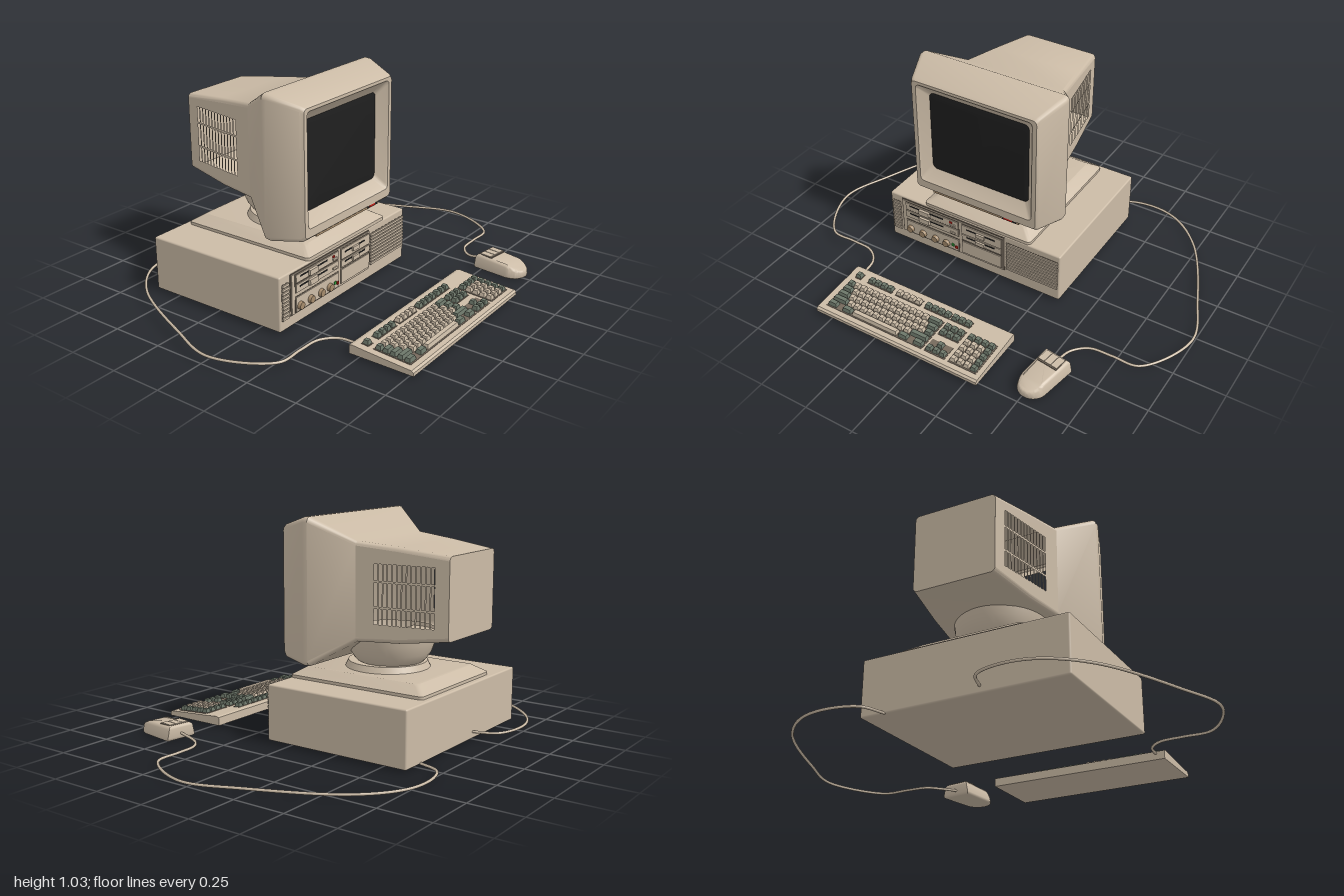
import * as THREE from 'three';
import { mergeGeometries, toCreasedNormals } from 'three/addons/utils/BufferGeometryUtils.js';
import { RoundedBoxGeometry } from 'three/addons/geometries/RoundedBoxGeometry.js';

const BEIGE = 0xcbbba6, SHADE = 0x75695c, DARK = 0x1f1f1f, TAN = 0xa58b6c;
const GREEN_GREY = 0x6d776a, RED = 0xc02018, GREEN = 0x2fa03a;

const mats = {};
const mat = (color, double) => (mats[color + '|' + double] ??= new THREE.MeshStandardMaterial({
  color, side: double ? THREE.DoubleSide : THREE.FrontSide }));

function add(parent, name, geo, color = BEIGE, double = false) {
  const m = new THREE.Mesh(geo, mat(color, double));
  m.name = name;
  parent.add(m);
  return m;
}
function box(parent, name, x, y, z, w, h, d, color) {
  const m = add(parent, name, new THREE.BoxGeometry(w, h, d), color);
  m.position.set(x, y, z);
  return m;
}
function group(parent, name) {
  const g = new THREE.Group();
  g.name = name;
  parent.add(g);
  return g;
}

// Loft of rounded rectangles [z, halfWidth, y0, y1, radius]; sides are left open from ring openFrom on.
const ARC = 5, N = ARC * 4;
function loft(rings, cx, { capStart, capEnd, openFrom = 99 } = {}) {
  const pos = [], idx = [];
  for (const [z, hw, y0, y1, r] of rings) {
    for (let c = 0; c < 4; c++) for (let k = 0; k < ARC; k++) {
      const a = (c + k / (ARC - 1)) * Math.PI / 2;
      const sx = c === 0 || c === 3 ? 1 : -1;
      pos.push(cx + sx * (hw - r) + r * Math.cos(a), (c < 2 ? y1 - r : y0 + r) + r * Math.sin(a), z);
    }
  }
  for (let i = 0; i < rings.length - 1; i++) for (let j = 0; j < N; j++) {
    if (i >= openFrom && (j === 2 * ARC - 1 || j === N - 1)) continue;
    const a = i * N + j, b = i * N + (j + 1) % N;
    idx.push(a, a + N, b + N, a, b + N, b);
  }
  const last = (rings.length - 1) * N;
  for (let j = 1; j < N - 1; j++) {
    if (capStart) idx.push(0, j, j + 1);
    if (capEnd) idx.push(last, last + j + 1, last + j);
  }
  const g = new THREE.BufferGeometry();
  g.setAttribute('position', new THREE.Float32BufferAttribute(pos, 3));
  g.setIndex(idx);
  return toCreasedNormals(g, 0.6);
}

function buildMonitor(root) {
  const g = group(root, 'monitor'), cx = -0.118;
  const rear = [[-0.235, 0.273, 0.48, 0.93, 0.02], [-0.43, 0.239, 0.487, 0.912, 0.02], [-0.665, 0.198, 0.515, 0.885, 0.02]];
  add(g, 'monitorShell', loft([
    [0.075, 0.265, 0.49, 0.91, 0.025], [0.112, 0.3, 0.44, 0.955, 0.02], [0.124, 0.308, 0.43, 0.965, 0.02],
    [0.124, 0.33, 0.39, 0.98, 0.02], [0.108, 0.34, 0.376, 0.99, 0.02],
    [-0.03, 0.39, 0.361, 1.033, 0.025], [-0.055, 0.39, 0.364, 1.034, 0.025], ...rear,
  ], cx, { capEnd: true, openFrom: 7 }), BEIGE, true);
  add(g, 'screen', loft([[0.079, 0.25, 0.505, 0.895, 0.03], [0.076, 0.267, 0.488, 0.912, 0.025]], cx, { capStart: true }), DARK);

  // Slotted side walls, bent onto the narrowing rear housing
  const wall = new THREE.Shape([
    ...rear.map(([z, , y0, , r]) => new THREE.Vector2(z, y0 + r)),
    ...[...rear].reverse().map(([z, , , y1, r]) => new THREE.Vector2(z, y1 - r))]);
  const cols = 13, pitch = 0.285 / cols;
  const rows = [[0.567, 0.637], [0.647, 0.752], [0.762, 0.835]];
  for (let i = 0; i < cols; i++) for (const [y0, y1] of rows) {
    const a = -0.6 + i * pitch, b = a + pitch * 0.68;
    wall.holes.push(new THREE.Path([[a, y0], [a, y1], [b, y1], [b, y0]].map(p => new THREE.Vector2(...p))));
  }
  for (const s of [1, -1]) {
    const geo = new THREE.ShapeGeometry(wall), p = geo.attributes.position;
    for (let i = 0; i < p.count; i++) {
      const z = p.getX(i);
      p.setXYZ(i, cx + s * (0.273 + (z + 0.235) * 0.1744), p.getY(i), z);
    }
    if (s > 0) geo.setIndex([...geo.index.array].reverse());
    geo.computeVertexNormals();
    add(g, s > 0 ? 'leftVentWall' : 'rightVentWall', geo, BEIGE, true);
  }

  // Control strip under the screen
  box(g, 'controlStrip', -0.12, 0.386, 0.1, 0.48, 0.024, 0.035, TAN);
  box(g, 'powerButton', 0.07, 0.387, 0.112, 0.075, 0.02, 0.018, DARK);
  box(g, 'powerLight', 0.065, 0.387, 0.12, 0.045, 0.012, 0.008, RED);
}

function buildStand(root) {
  const g = group(root, 'monitorStand');
  const base = loft([[0.325, 0.245, -0.06, 0.545, 0.02], [0.318, 0.255, -0.07, 0.555, 0.02],
    [0.288, 0.3, -0.115, 0.6, 0.02], [0.268, 0.3, -0.115, 0.6, 0.02]], -0.12, { capStart: true, capEnd: true });
  add(g, 'standBase', base.rotateX(-Math.PI / 2));
  add(g, 'swivelDisc', new THREE.CylinderGeometry(0.185, 0.2, 0.032, 40)).position.set(-0.12, 0.338, -0.23);
  const bowl = [[0, 0.35], [0.15, 0.35], [0.17, 0.37], [0.19, 0.4], [0.208, 0.45], [0.215, 0.5]];
  add(g, 'tiltBowl', new THREE.LatheGeometry(bowl.map(p => new THREE.Vector2(...p)), 40), BEIGE, true)
    .position.set(-0.12, 0, -0.245);
}

function buildCase(root) {
  const g = group(root, 'computerCase');
  add(g, 'caseBody', new RoundedBoxGeometry(0.97, 0.264, 0.745, 2, 0.008)).position.set(-0.14, 0.142, -0.255);

  // Grilles either side of the drive panel
  const grille = (name, x, w, y0, y1, n) => {
    box(g, name + 'Back', x, (y0 + y1) / 2, 0.117, w, y1 - y0, 0.003, SHADE);
    for (let i = 0; i < n; i++)
      box(g, name + 'Rib', x, y0 + (i + 0.5) * (y1 - y0) / n, 0.12, w, (y1 - y0) / n * 0.65, 0.01);
  };
  grille('rightGrille', -0.588, 0.045, 0.06, 0.235, 10);
  grille('leftGrille', 0.195, 0.28, 0.075, 0.24, 10);

  // Drive panel with two columns of bays
  box(g, 'panelShadow', -0.255, 0.163, 0.117, 0.598, 0.202, 0.006, SHADE);
  box(g, 'drivePanel', -0.255, 0.163, 0.119, 0.588, 0.192, 0.012);
  const bay = (x, y, w, h) => {
    box(g, 'baySurround', x, y, 0.122, w + 0.008, h + 0.008, 0.009, SHADE);
    box(g, 'bayFace', x, y, 0.126, w, h, 0.01);
  };
  for (const y of [0.234, 0.187]) {
    bay(-0.37, y, 0.31, 0.038);
    box(g, 'diskSlot', -0.4, y + 0.006, 0.131, 0.2, 0.007, 0.003, DARK);
    box(g, 'diskLatch', -0.41, y, 0.135, 0.06, 0.026, 0.018);
    box(g, 'ejectButton', -0.245, y - 0.006, 0.132, 0.03, 0.01, 0.008);
  }
  box(g, 'driveLight', -0.255, 0.241, 0.132, 0.014, 0.009, 0.006, RED);
  for (const y of [0.226, 0.178]) {
    bay(-0.08, y, 0.225, y > 0.2 ? 0.05 : 0.032);
    box(g, 'smallDiskSlot', -0.085, y + 0.006, 0.131, 0.16, 0.007, 0.003, DARK);
    box(g, 'smallDiskLatch', -0.085, y, 0.134, 0.05, 0.02, 0.014);
  }
  bay(-0.08, 0.115, 0.225, 0.07);
  bay(-0.37, 0.11, 0.31, 0.07);
  for (const x of [-0.5, -0.425, -0.35, -0.285]) {
    const k = add(g, 'knob', new THREE.CylinderGeometry(0.017, 0.02, 0.018, 20).rotateX(Math.PI / 2), TAN);
    k.position.set(x, 0.1, 0.137);
  }
  box(g, 'greenLight', -0.245, 0.105, 0.132, 0.014, 0.014, 0.008, GREEN);
  box(g, 'redLight', -0.225, 0.098, 0.132, 0.014, 0.014, 0.008, RED);
}

function buildKeyboard(root) {
  const g = group(root, 'keyboard');
  const side = new THREE.Shape([[0.455, 0.01], [0.775, 0.01], [0.775, 0.026], [0.765, 0.034], [0.53, 0.049],
    [0.47, 0.054], [0.455, 0.05]].map(p => new THREE.Vector2(...p)));
  const body = new THREE.ExtrudeGeometry(side, { depth: 0.89, bevelEnabled: false });
  add(g, 'keyboardBody', body.rotateY(-Math.PI / 2).translate(0.305, 0, 0));

  const deck = z => 0.034 + (0.765 - z) * 0.065;
  const keys = { [BEIGE]: [], [GREEN_GREY]: [] };
  const key = (x, z, w, d, dark) => {
    const k = new THREE.BoxGeometry(w - 0.006, 0.02, d - 0.006), p = k.attributes.position;
    for (let i = 0; i < p.count; i++) if (p.getY(i) > 0) {
      p.setX(i, p.getX(i) - Math.sign(p.getX(i)) * 0.005);
      p.setZ(i, p.getZ(i) * 0.7);
    }
    k.computeVertexNormals();
    keys[dark ? GREEN_GREY : BEIGE].push(k.translate(x, deck(z) + 0.01, z));
  };
  const well = (x0, x1, z0, z1) => {
    const m = box(g, 'keyWell', (x0 + x1) / 2, deck((z0 + z1) / 2), (z0 + z1) / 2, x1 - x0, 0.004, z1 - z0, SHADE);
    m.rotation.x = 0.065;
  };
  const P = 0.036, row = i => 0.575 + i * P;
  // Separate back row of keys
  for (const [x0, n] of [[-0.55, 1], [-0.475, 4], [-0.31, 4], [-0.145, 4], [0.005, 3]]) {
    well(x0, x0 + n * P, 0.493, 0.53);
    for (let i = 0; i < n; i++) key(x0 + (i + 0.5) * P, 0.511, P, P, x0 !== -0.31);
  }
  // Main block: left key width, right key width, number of letters between
  well(-0.552, -0.008, 0.555, 0.74);
  [[1, 2, 12], [1.5, 1.5, 12], [1.8, 1.2, 12], [2.3, 2.7, 10]].forEach(([l, r, n], i) => {
    const u = 0.54 / 15, x = -0.55;
    key(x + l * u / 2, row(i), l * u, P, true);
    key(-0.01 - r * u / 2, row(i), r * u, P, true);
    const w = (0.54 - (l + r) * u) / n;
    for (let k = 0; k < n; k++) key(x + l * u + (k + 0.5) * w, row(i), w, P, false);
  });
  for (const x of [-0.523, -0.44, -0.12, -0.037]) key(x, row(4), 0.054, P, true);
  key(-0.28, row(4), 0.26, P, false);
  // Navigation keys, arrows and number pad
  well(0.003, 0.115, 0.555, 0.63);
  well(0.003, 0.115, 0.665, 0.74);
  for (let c = 0; c < 3; c++) {
    for (const r of [0, 1, 4]) key(0.023 + c * P, row(r), P, P, true);
  }
  key(0.023 + P, row(3), P, P, true);
  well(0.133, 0.282, 0.555, 0.74);
  for (let c = 0; c < 4; c++) for (let r = 0; r < 5; r++) key(0.153 + c * P, row(r), P, P, c === 3 || r === 0);
  for (const c in keys) add(g, 'keys', mergeGeometries(keys[c]), Number(c));
}

function buildMouse(root) {
  const g = group(root, 'mouse');
  g.position.set(0.525, 0, 0.595);
  g.rotation.y = -0.14;
  // Outline: square at the cable end, round at the palm end
  const s = new THREE.Shape();
  s.moveTo(-0.066, 0.11);
  s.lineTo(-0.06, -0.05);
  s.absarc(0, -0.05, 0.06, Math.PI, Math.PI * 2, false);
  s.lineTo(0.066, 0.11);
  s.closePath();
  const geo = new THREE.ExtrudeGeometry(s, { depth: 0.04, bevelThickness: 0.015, bevelSize: 0.014, bevelSegments: 3, curveSegments: 16 });
  geo.rotateX(-Math.PI / 2).translate(0, 0.015, 0);
  const p = geo.attributes.position;
  for (let i = 0; i < p.count; i++) {
    const y = p.getY(i), z = p.getZ(i), t = 1 - 0.2 * y / 0.07;
    p.setXYZ(i, p.getX(i) * t, y * (1 - 0.4 * THREE.MathUtils.smoothstep(z, 0.02, 0.12)), z);
  }
  add(g, 'mouseBody', toCreasedNormals(geo, 0.7));
  box(g, 'buttonGap', 0, 0.069, -0.075, 0.106, 0.004, 0.072, SHADE);
  for (const i of [-1, 0, 1]) box(g, 'mouseButton', i * 0.035, 0.071, -0.077, 0.032, 0.006, 0.062);
}

// Both cables follow mirrored paths to the back of the case
function buildCable(root, name, side, y, start) {
  const run = [[0.555, 0.38], [0.62, 0.32], [0.73, 0.31], [0.86, 0.3], [0.993, 0.04], [0.91, -0.22],
    [0.72, -0.6], [0.55, -0.745], [0.4, -0.772], [0.27, -0.73], [0.225, -0.62]];
  const path = new THREE.CatmullRomCurve3([new THREE.Vector3(...start),
    ...run.map(([x, z]) => new THREE.Vector3(side * x, y, z))]);
  add(root, name, new THREE.TubeGeometry(path, 120, 0.0065, 8));
}

export function createModel() {
  const root = new THREE.Group();
  root.name = 'desktopComputer';
  buildMonitor(root);
  buildStand(root);
  buildCase(root);
  buildKeyboard(root);
  buildMouse(root);
  buildCable(root, 'keyboardCable', -1, 0.043, [-0.54, 0.04, 0.47]);
  buildCable(root, 'mouseCable', 1, 0.013, [0.54, 0.03, 0.48]);
  return root;
}
